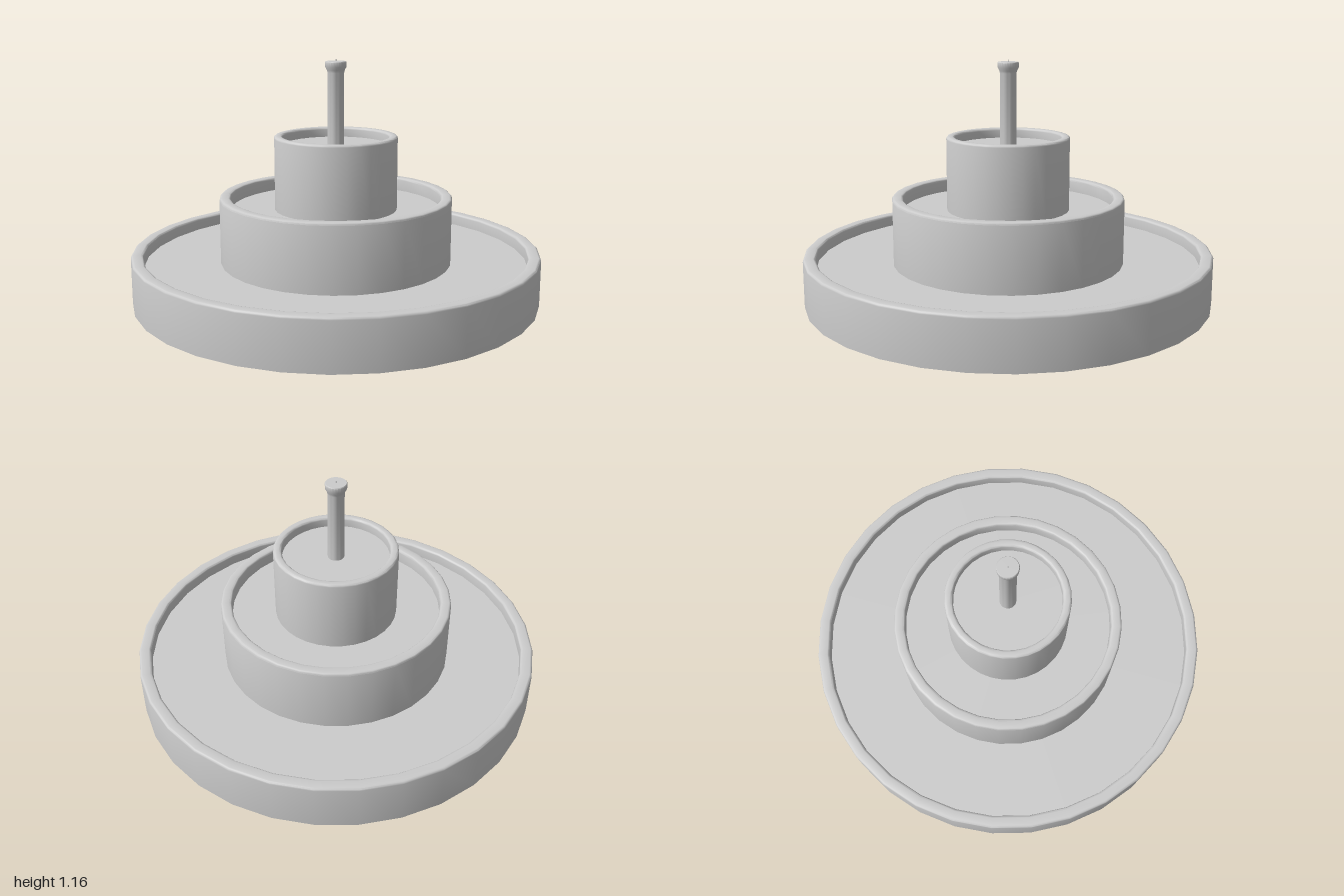
import * as THREE from 'three';
import { toCreasedNormals } from 'three/addons/utils/BufferGeometryUtils.js';

const material = new THREE.MeshStandardMaterial({ color: 0xcccccc });

function lathe(name, points, sides) {
  const profile = points.map(([r, y]) => new THREE.Vector2(r, y));
  const mesh = new THREE.Mesh(toCreasedNormals(new THREE.LatheGeometry(profile, sides), 0.7), material);
  mesh.name = name;
  return mesh;
}

// Round basin: solid drum with a softened rim around a sunken floor
function basin(name, radius, inner, bottom, floor, top) {
  const bevel = 0.012, steps = 3;
  const points = [[0, bottom], [radius, bottom]];
  for (const [cx, start] of [[radius - bevel, 0], [inner + bevel, Math.PI / 2]]) {
    for (let i = 0; i <= steps; i++) {
      const a = start + (i / steps) * Math.PI / 2;
      points.push([cx + bevel * Math.cos(a), top - bevel + bevel * Math.sin(a)]);
    }
  }
  points.push([inner, floor], [0, floor]);
  return lathe(name, points, 32);
}

export function createModel() {
  const fountain = new THREE.Group();
  fountain.name = 'tieredFountain';

  // Three stacked basins, each standing on the floor of the one below
  fountain.add(
    basin('lowerBasin', 1, 0.94, 0, 0.176, 0.238),
    basin('middleBasin', 0.57, 0.516, 0.176, 0.435, 0.503),
    basin('upperBasin', 0.301, 0.26, 0.435, 0.748, 0.797),
  );

  // Spout pipe with a flared mouth
  fountain.add(lathe('spoutPipe', [
    [0, 0.748], [0.04, 0.748], [0.04, 1.1], [0.043, 1.112], [0.051, 1.127],
    [0.052, 1.15], [0.049, 1.154], [0, 1.154],
  ], 24));

  // Fine jet tip in the middle of the mouth
  const tip = new THREE.Mesh(new THREE.CylinderGeometry(0.002, 0.002, 0.012, 8), material);
  tip.name = 'jetTip';
  tip.position.y = 1.158;
  fountain.add(tip);

  return fountain;
}
